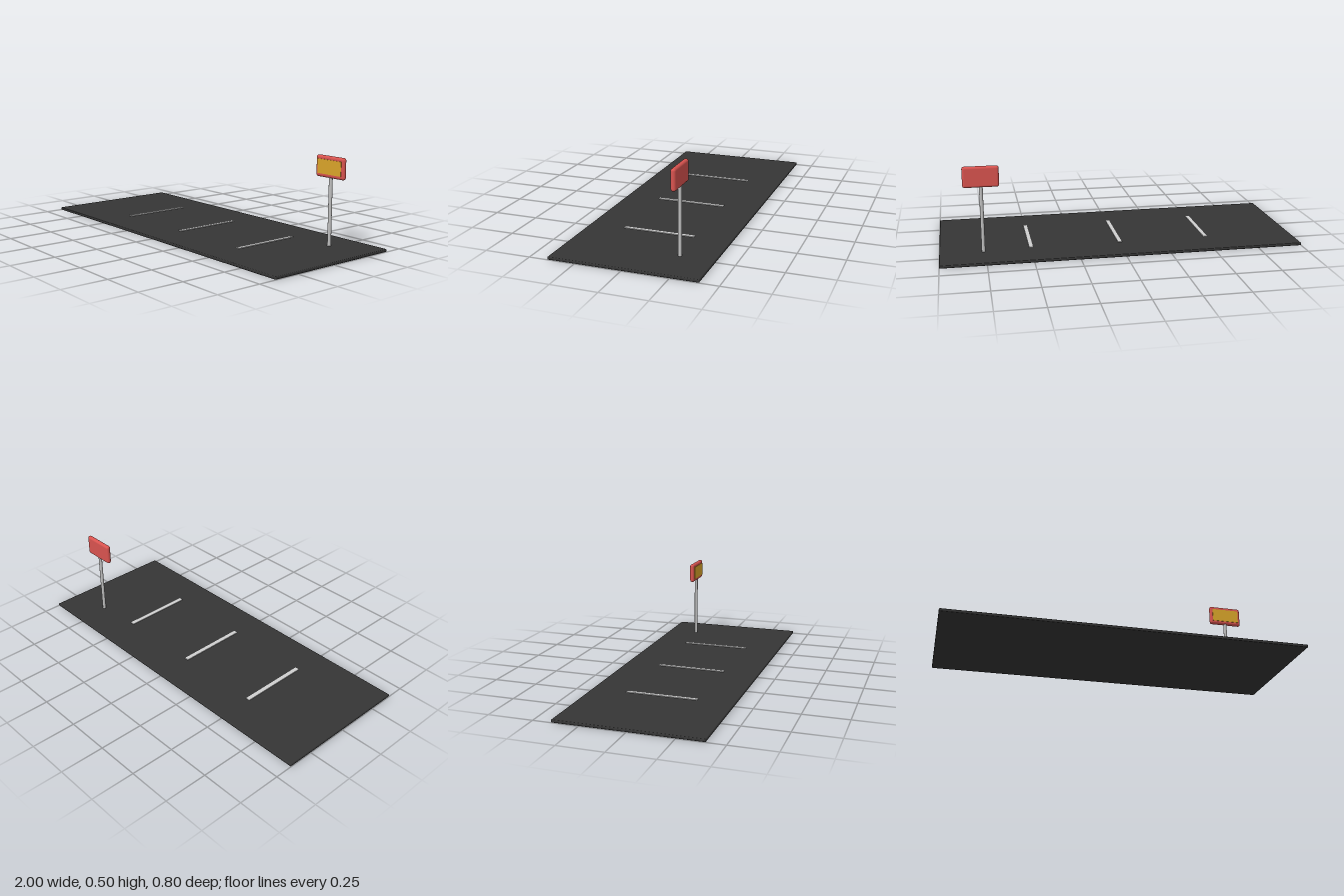
import * as THREE from 'three';
import { RoundedBoxGeometry } from 'three/addons/geometries/RoundedBoxGeometry.js';

const material = (name, color) => {
  const m = new THREE.MeshStandardMaterial({ color });
  m.name = name;
  return m;
};

export function createModel() {
  const group = new THREE.Group();
  group.name = 'parkingLot';

  const asphalt = material('asphalt', 0x353535);
  const paint = material('linePaint', 0xcfcfcf);
  const metal = material('postMetal', 0xbfbfbf);
  const red = material('signRed', 0xd9534f);
  const gold = material('signGold', 0xdaa52a);

  const add = (name, geometry, mat, x, y, z) => {
    const mesh = new THREE.Mesh(geometry, mat);
    mesh.name = name;
    mesh.position.set(x, y, z);
    group.add(mesh);
    return mesh;
  };

  // Ground slab with softened edges
  const slabTop = 0.016;
  add('groundSlab', new RoundedBoxGeometry(2, slabTop, 0.8, 3, 0.005), asphalt, 0, slabTop / 2, 0);

  // Painted bay lines
  for (const x of [-0.5, 0, 0.5]) {
    add('bayLine', new THREE.BoxGeometry(0.024, 0.004, 0.4), paint, x, slabTop + 0.002, 0);
  }

  // Sign: post, rounded board and raised front panel
  const signX = 0.762, signZ = -0.216, postTop = 0.39;
  add('signPost', new THREE.CylinderGeometry(0.01, 0.01, postTop - slabTop, 24), metal,
    signX, (postTop + slabTop) / 2, signZ);
  add('signBoard', new RoundedBoxGeometry(0.196, 0.116, 0.027, 5, 0.013), red, signX, 0.438, signZ);
  add('signPanel', new THREE.BoxGeometry(0.164, 0.078, 0.005), gold, signX, 0.438, -0.2022);

  return group;
}
